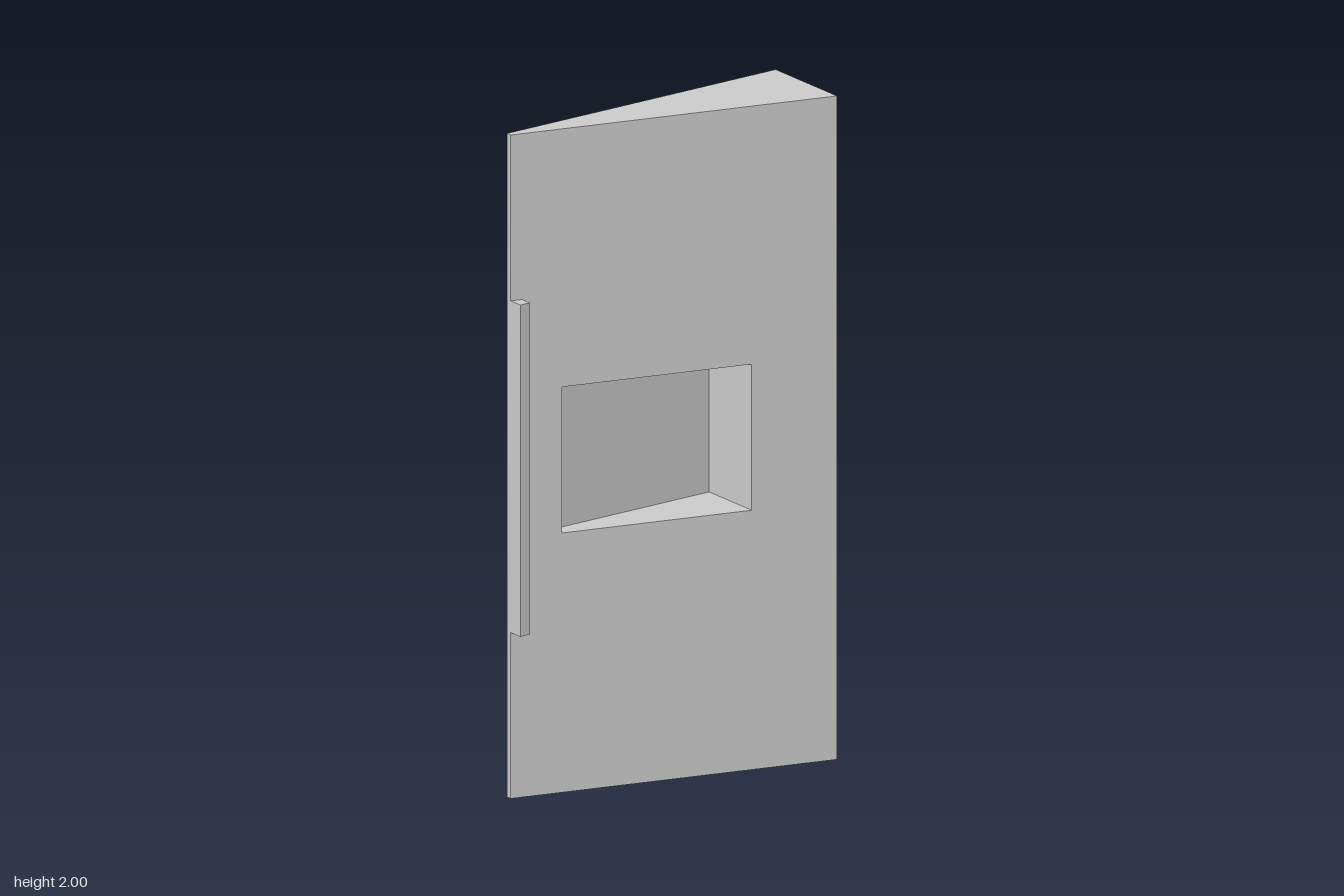
import * as THREE from 'three';
import { mergeGeometries } from 'three/addons/utils/BufferGeometryUtils.js';

const W = 0.478, H = 2, BACK = -0.147, THIN = -0.129, FRONT = 0.147;
const RECESS = { x0: -0.328, x1: 0.228, y0: 0.782, y1: 1.222 };

// Depth of the sloping front face at a given x
const slope = (x) => THREE.MathUtils.mapLinear(x, -W, W, THIN, FRONT);

// Moves every vertex with z > 0 onto the sloping front, the rest to a flat back
function fitToSlope(geometry, back) {
  const p = geometry.attributes.position;
  for (let i = 0; i < p.count; i++) p.setZ(i, p.getZ(i) > 0 ? slope(p.getX(i)) : back);
  geometry.computeVertexNormals();
  return geometry;
}

// Box without its front side; inward turns the faces to the inside
function openBox({ x0, x1, y0, y1 }, back, inward) {
  const g = new THREE.BoxGeometry(x1 - x0, y1 - y0, 1);
  g.translate((x0 + x1) / 2, (y0 + y1) / 2, 0);
  const index = Array.from(g.index.array);
  index.splice(24, 6);
  if (inward) index.reverse();
  g.setIndex(index);
  g.clearGroups();
  return fitToSlope(g, back);
}

// Counter-clockwise rectangle
function rectangle(path, { x0, x1, y0, y1 }) {
  return path.moveTo(x0, y0).lineTo(x1, y0).lineTo(x1, y1).lineTo(x0, y1).closePath();
}

export function createModel() {
  const model = new THREE.Group();
  const material = new THREE.MeshStandardMaterial({ color: 0xcccccc });
  const outline = { x0: -W, x1: W, y0: 0, y1: H };

  // Sloping front face with the recess opening
  const face = rectangle(new THREE.Shape(), outline);
  face.holes.push(rectangle(new THREE.Path(), RECESS));
  const front = new THREE.ShapeGeometry(face).translate(0, 0, 1);

  // Wedge-shaped body with a flat-bottomed recess
  const body = new THREE.Mesh(mergeGeometries([
    openBox(outline, BACK, false),
    openBox(RECESS, THIN, true),
    fitToSlope(front, BACK),
  ]), material);
  body.name = 'wedgeBody';
  model.add(body);

  // Upright bar along the thin edge
  const bar = new THREE.Mesh(new THREE.BoxGeometry(0.034, 1, 0.046), material);
  bar.position.set(-W + 0.017, 1, -0.106);
  bar.name = 'edgeBar';
  model.add(bar);

  return model;
}
